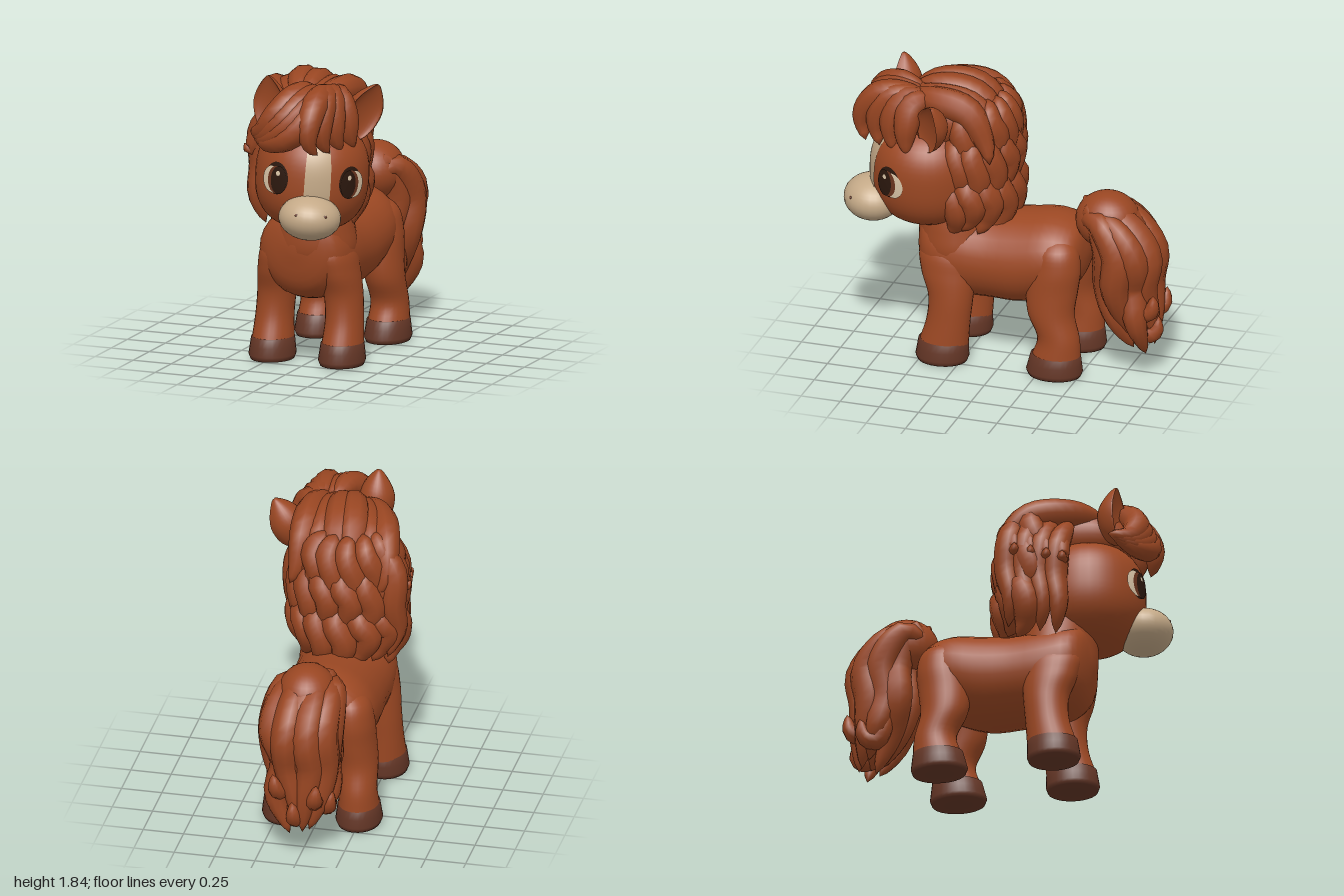
import * as THREE from 'three';
import { mergeVertices, mergeGeometries } from 'three/addons/utils/BufferGeometryUtils.js';

const mat = (name, color) => Object.assign(new THREE.MeshStandardMaterial({ color }), { name });
const { sin, cos, PI } = Math;
const V = (x, y, z) => new THREE.Vector3(x, y, z);

// Smooth surface from a rule fn(u, v) -> Vector3
function grid(fn, nu, nv) {
  const pos = [], idx = [];
  for (let j = 0; j <= nv; j++)
    for (let i = 0; i <= nu; i++) pos.push(...fn(i / nu, j / nv).toArray());
  for (let j = 0; j < nv; j++)
    for (let i = 0; i < nu; i++) {
      const a = j * (nu + 1) + i, b = a + nu + 1;
      idx.push(a, a + 1, b + 1, a, b + 1, b);
    }
  let g = new THREE.BufferGeometry();
  g.setAttribute('position', new THREE.Float32BufferAttribute(pos, 3));
  g.setIndex(idx);
  g = mergeVertices(g, 1e-5);
  g.computeVertexNormals();
  return g;
}

// Stacked elliptical rings [y, z, rx, rz, x], ascending in y
function loft(rings, smooth = true) {
  const a = rings.map(r => V(r[0], r[1], r[4] ?? 0)), b = rings.map(r => V(r[2], r[3], 0));
  const at = (pts, t) => {
    if (smooth) return new THREE.CatmullRomCurve3(pts, false, 'catmullrom').getPoint(t);
    const k = t * (pts.length - 1), i = Math.min(Math.floor(k), pts.length - 2);
    return pts[i].clone().lerp(pts[i + 1], k - i);
  };
  return grid((u, v) => {
    const c = at(a, v), r = at(b, v), t = u * PI * 2;
    return V(c.z + sin(t) * r.x, c.x, c.y + cos(t) * r.y);
  }, 28, smooth ? 28 : (rings.length - 1) * 2);
}

// Tapered lock of hair along a curve
function lock(points, r, n = 16) {
  const curve = new THREE.CatmullRomCurve3(points.map(p => V(...p)));
  const f = curve.computeFrenetFrames(n);
  return grid((u, v) => {
    const k = Math.round(v * n), t = u * PI * 2;
    const w = r * Math.pow(Math.max(0, sin(PI * Math.pow(v, 0.85))), 0.6);
    return curve.getPointAt(v)
      .addScaledVector(f.normals[k], cos(t) * w).addScaledVector(f.binormals[k], sin(t) * w);
  }, 10, n);
}

// Row of locks blended from one path to another
function lockRow(from, to, count, r) {
  return Array.from({ length: count }, (_, i) => {
    const k = i / (count - 1);
    return lock(from.map((p, n) => p.map((c, m) => c + (to[n][m] - c) * k)), r);
  });
}

function ball(x, y, z, rx, ry, rz) {
  return new THREE.SphereGeometry(1, 28, 20).scale(rx, ry, rz).translate(x, y, z).deleteAttribute('uv');
}

// Rounded skull: point at azimuth az and height y, lifted by off
const superR = t => Math.pow(Math.max(0, 1 - Math.pow(Math.abs(t), 2.5)), 0.4);
function skullPoint(az, y, off = 0) {
  const r = superR(y / 0.335);
  return V(sin(az) * (0.345 * r + off), y, cos(az) * (0.35 * r + off));
}
// Thin oval that follows the skull
const decal = (az, y, ra, ry, off) => grid((u, v) => {
  const t = u * PI * 2;
  return skullPoint(az + ra * (1 - v) * cos(t), y + ry * (1 - v) * sin(t), off);
}, 28, 5);

export function createModel() {
  const coat = mat('chestnut coat', 0x9c4823), hairMat = mat('chestnut hair', 0x994622);
  const cream = mat('cream', 0xc4a987), hoofMat = mat('hoof brown', 0x643626);
  const dark = mat('eye dark', 0x2c180e), white = mat('eye white', 0xdcc7a9);
  const iris = mat('iris brown', 0x6b351f);
  const model = new THREE.Group();
  model.name = 'pony';
  const add = (parent, name, geo, m) => {
    const mesh = new THREE.Mesh(geo, m);
    mesh.name = name;
    parent.add(mesh);
    return mesh;
  };

  // Barrel: rings run along z, second value is minus height
  const body = loft([
    [-0.5, -0.75, 0, 0], [-0.475, -0.75, 0.18, 0.14], [-0.41, -0.73, 0.27, 0.22],
    [-0.28, -0.71, 0.31, 0.27], [-0.1, -0.67, 0.31, 0.29], [0.1, -0.66, 0.3, 0.28],
    [0.3, -0.67, 0.3, 0.29], [0.45, -0.7, 0.275, 0.27], [0.53, -0.73, 0.19, 0.2], [0.57, -0.75, 0, 0],
  ]).rotateX(PI / 2);
  add(model, 'body', body, coat).position.x = -0.022;
  add(model, 'neck', loft([[0.55, 0.32, 0.2, 0.16], [0.7, 0.32, 0.27, 0.24], [0.85, 0.33, 0.26, 0.24],
    [1.0, 0.34, 0.23, 0.22], [1.2, 0.35, 0.2, 0.2]]), coat);

  // Legs and hooves; the last value leans the upper leg inwards
  const foreLeg = s => [[0.12, 0.355, 0.126, 0.153], [0.28, 0.325, 0.115, 0.135], [0.43, 0.315, 0.116, 0.14, -s * 0.01],
    [0.58, 0.335, 0.115, 0.17, -s * 0.025], [0.73, 0.34, 0.1, 0.17, -s * 0.05], [0.88, 0.34, 0, 0, -s * 0.1]];
  const hindLeg = s => [[0.12, -0.36, 0.125, 0.153], [0.25, -0.375, 0.114, 0.13], [0.4, -0.325, 0.12, 0.145, -s * 0.01],
    [0.55, -0.325, 0.13, 0.16, -s * 0.03], [0.7, -0.345, 0.13, 0.155, -s * 0.04],
    [0.83, -0.345, 0.1, 0.12, -s * 0.05], [0.92, -0.345, 0, 0, -s * 0.09]];
  const hoof = (z, rz) => loft([[0, z, 0, 0], [0.005, z, 0.13, rz - 0.012], [0.035, z, 0.142, rz],
    [0.14, z - 0.008, 0.128, 0.155], [0.148, z - 0.008, 0.1, 0.12]], false);
  for (const s of [-1, 1]) {
    const side = s > 0 ? 'left' : 'right', x = -0.02 + s * 0.228;
    add(model, side + 'FrontLeg', loft(foreLeg(s)), coat).position.x = x;
    add(model, side + 'HindLeg', loft(hindLeg(s)), coat).position.x = x;
    add(model, side + 'FrontHoof', hoof(0.365, 0.165), hoofMat).position.x = x;
    add(model, side + 'HindHoof', hoof(-0.35, 0.175), hoofMat).position.x = x;
  }

  // Head, turned and tilted towards its left
  const head = new THREE.Group();
  head.name = 'head';
  head.position.set(0.07, 1.2, 0.5);
  head.rotation.set(0, 0.42, -0.07, 'YXZ');
  model.add(head);
  add(head, 'skull', grid((u, v) => skullPoint(u * PI * 2, -0.335 * cos(v * PI)), 40, 28), coat);
  add(head, 'muzzle', ball(-0.008, -0.195, 0.335, 0.19, 0.137, 0.178), cream);
  add(head, 'blaze', grid((u, v) => skullPoint(0.07 + (u * 2 - 1) * 0.23, -0.13 + v * 0.42, 0.006), 10, 16), cream);
  for (const s of [-1, 1]) {
    const side = s > 0 ? 'left' : 'right';
    add(head, side + 'Lashes', decal(s * 0.71, 0.02, 0.25, 0.1, 0.004), dark);
    add(head, side + 'EyeWhite', decal(s * 0.8, 0.008, 0.22, 0.082, 0.007), white);
    add(head, side + 'Iris', decal(s * 0.7, 0.012, 0.18, 0.085, 0.01), iris);
    add(head, side + 'Pupil', decal(s * 0.64, 0.013, 0.16, 0.087, 0.013), dark);
    add(head, side + 'Glint', decal(s * 0.65, 0.055, 0.04, 0.015, 0.016), white);
    add(head, side + 'Nostril', ball(s * 0.085 - 0.008, -0.155, 0.478, 0.013, 0.01, 0.008), hoofMat);

    // Pointed ear with a hollow front
    const ear = ball(0, 0, 0, 1, 1, 1), p = ear.attributes.position;
    for (let i = 0; i < p.count; i++) {
      const y = p.getY(i), z = p.getZ(i), w = y > 0 ? 1 - 0.5 * y * y : 1;
      p.setXYZ(i, p.getX(i) * 0.11 * w, y * 0.185, (z > 0 ? -z * 0.025 + 0.02 * (1 - z) : z * 0.12) * w);
    }
    ear.computeVertexNormals();
    const e = add(head, side + 'Ear', ear, coat);
    e.position.set(s * 0.29, 0.425 - s * 0.012, 0.08 - s * 0.05);
    e.rotation.set(-0.05, s * 0.5, -0.13 - s * 0.27, 'ZYX');
  }

  // Forelock: one sweep under the right ear, one down the left temple
  add(model, 'forelock', mergeGeometries([
    ...lockRow([[0.2, 1.74, 0.5], [0.2, 1.65, 0.78], [0.08, 1.51, 0.87], [-0.08, 1.45, 0.83], [-0.21, 1.48, 0.72]],
      [[0.1, 1.72, 0.5], [0.06, 1.73, 0.7], [-0.02, 1.63, 0.82], [-0.13, 1.51, 0.8], [-0.24, 1.49, 0.7]], 4, 0.085),
    ...lockRow([[0.18, 1.74, 0.5], [0.2, 1.69, 0.77], [0.2, 1.56, 0.87], [0.21, 1.46, 0.87], [0.25, 1.4, 0.84]],
      [[0.2, 1.73, 0.42], [0.27, 1.68, 0.54], [0.315, 1.57, 0.56], [0.335, 1.47, 0.56], [0.36, 1.39, 0.54]], 4, 0.085),
  ]), hairMat);

  // Mane: filled core, crown locks, then three layers round the back
  add(model, 'maneCore', mergeGeometries([
    ball(0.06, 1.57, 0.42, 0.24, 0.2, 0.37), ball(-0.03, 1.32, 0.22, 0.31, 0.39, 0.21)]), hairMat);
  const mane = [];
  for (let i = 0; i < 6; i++) {
    const x = -0.27 + i * 0.095, d = Math.abs(x) * 0.25, j = sin(i * 4.1) * 0.02;
    mane.push(lock([[x * 0.4 + 0.05, 1.68, 0.62], [x * 0.85 + 0.03, 1.74 - d + j, 0.43],
      [x * 1.05, 1.69 - d + j, 0.2], [x * 1.15, 1.52 - d, 0.08], [x * 1.15 + 0.04, 1.34 + j, 0.04]], 0.095));
  }
  const layers = [[1.7, 1.2, 0.85], [1.52, 1.02, 0.97], [1.26, 0.84, 1]];
  layers.forEach(([top, bottom, k], n) => {
    for (let i = 0; i < 8; i++) {
      const a = -1.7 + i * 0.46 + n * 0.12, j = sin(i * 7.7 + n * 3) * 0.04;
      const at = (r, y, twist) => {
        const b = a + twist, sx = sin(b);
        return [-0.025 + sx * r * k * (sx > 0 ? 0.28 : 0.33), y, 0.23 - cos(b) * r * k * 0.22];
      };
      const h = top - bottom;
      mane.push(lock([at(0.65, top, 0), at(0.98, top - h * 0.25, 0.14), at(1, top - h * 0.5 + j, -0.06),
        at(0.9, top - h * 0.8 + j, 0.04), at(0.95, bottom + j, 0.28)], 0.092));
    }
  });
  // Fuller curls on the right side of the neck
  for (let i = 0; i < 4; i++) {
    const z = 0.12 + i * 0.095, y = 1.46 - i * 0.02, k = 1 - i * 0.04;
    mane.push(lock([[-0.2 * k, y + 0.22, z + 0.05], [-0.35 * k, y + 0.02, z], [-0.35 * k, y - 0.2, z - 0.02],
      [-0.37 * k, y - 0.38, z + 0.01], [-0.32 * k, y - 0.56, z - 0.02]], 0.085));
    mane.push(lock([[-0.28 * k, y + 0.12, z], [-0.36 * k, y, z + 0.02], [-0.41 * k, y - 0.1, z + 0.04],
      [-0.45 * k, y - 0.06, z + 0.05]], 0.06));
  }
  add(model, 'mane', mergeGeometries(mane), hairMat);

  // Tail: core and wavy locks
  const tail = [
    lock([[0, 0.95, -0.45], [0.01, 1.0, -0.62], [0.02, 0.8, -0.76], [0, 0.5, -0.76], [0.01, 0.2, -0.84]], 0.19, 20),
    ball(0.01, 0.985, -0.625, 0.18, 0.18, 0.2),
  ];
  for (let i = 0; i < 9; i++) {
    const a = i * PI * 2 / 9, ox = sin(a) * 0.17, oz = cos(a) * 0.13, j = sin(i * 3.7);
    tail.push(lock([[ox * 0.5, 0.98, -0.48], [ox * 0.9, 1.07 - Math.abs(ox) * 0.3 + oz * 0.2, -0.61 + oz * 0.6],
      [ox + 0.02, 0.82, -0.765 + oz], [ox * 0.9 + j * 0.03, 0.6, -0.75 + oz],
      [ox * 0.85 - j * 0.03, 0.4, -0.79 + oz * 0.9], [ox * 0.4, 0.2 + j * 0.05, -0.85 + oz * 0.5]], 0.1, 20));
  }
  // Curled tips low on the tail
  for (const [x, y, z] of [[0.1, 0.52, -0.88], [-0.08, 0.47, -0.88], [0.02, 0.34, -0.87], [-0.13, 0.4, -0.78]])
    tail.push(lock([[x * 0.7, y + 0.22, z + 0.06], [x, y + 0.05, z + 0.05], [x * 1.1, y - 0.07, z],
      [x * 1.3, y - 0.05, z - 0.06], [x * 1.5, y + 0.06, z - 0.08]], 0.07));
  add(model, 'tail', mergeGeometries(tail), hairMat);

  return model;
}
